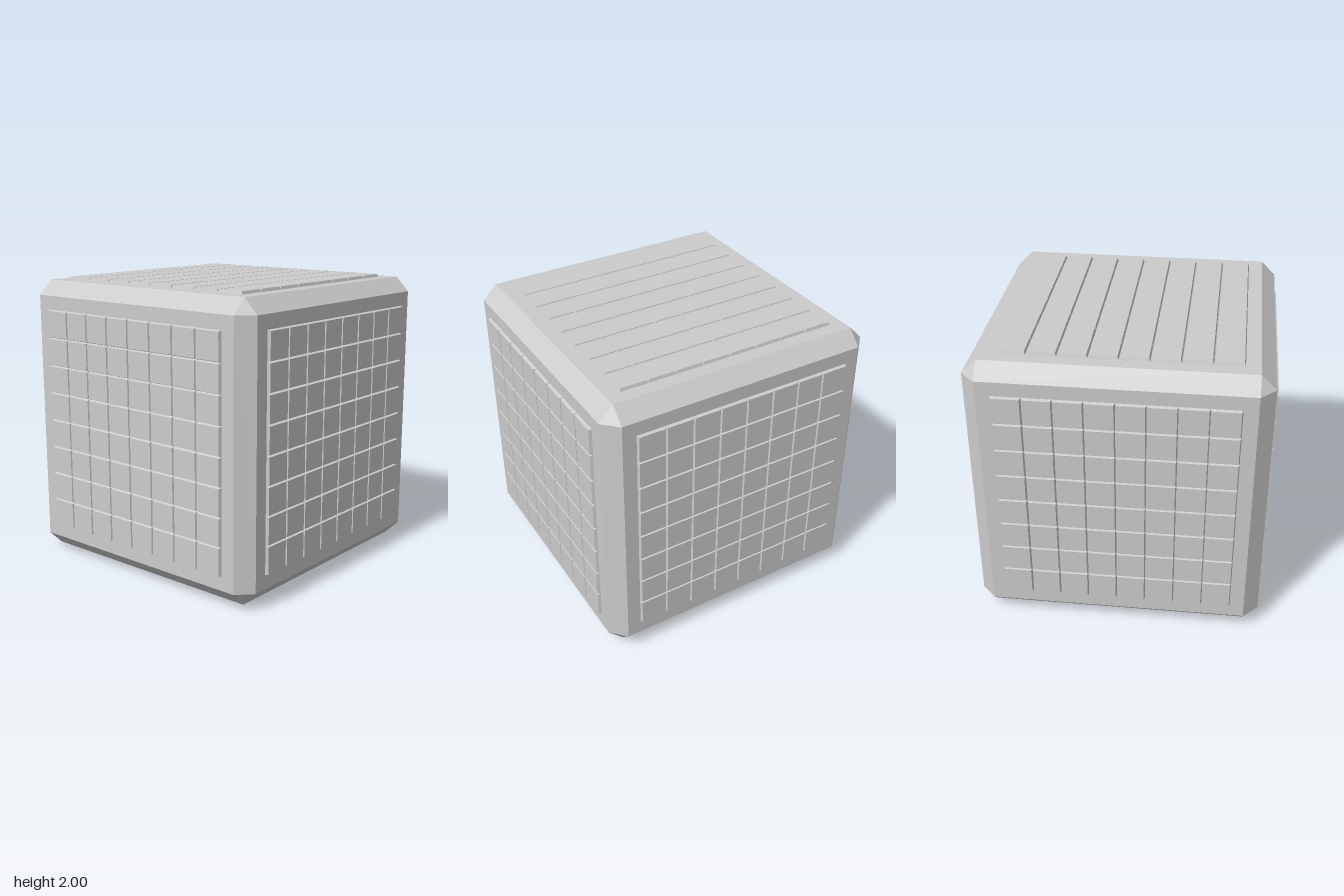
import * as THREE from 'three';
import { ConvexGeometry } from 'three/addons/geometries/ConvexGeometry.js';
import { mergeGeometries } from 'three/addons/utils/BufferGeometryUtils.js';

const HALF = 0.98;     // half size of the cube body
const INNER = 0.88;    // where the chamfer starts
const PITCH = 0.196;   // tile spacing
const COUNT = 8;       // tiles per row
const RAISE = 0.02;    // tile height

// Cube with flat chamfers on its edges and triangular corners
function chamferedCube() {
  const points = [];
  for (const x of [-1, 1]) for (const y of [-1, 1]) for (const z of [-1, 1]) {
    points.push(
      new THREE.Vector3(x * HALF, y * INNER, z * INNER),
      new THREE.Vector3(x * INNER, y * HALF, z * INNER),
      new THREE.Vector3(x * INNER, y * INNER, z * HALF),
    );
  }
  return new ConvexGeometry(points);
}

// Grid of tapered tiles lying on the top face of the cube
function tileGrid() {
  const tile = new THREE.CylinderGeometry(0.091 * Math.SQRT2, PITCH / Math.SQRT2, RAISE, 4)
    .rotateY(Math.PI / 4);
  const tiles = [];
  for (let i = 0; i < COUNT; i++) for (let j = 0; j < COUNT; j++) {
    const offset = (COUNT - 1) / 2;
    tiles.push(tile.clone().translate((i - offset) * PITCH, HALF + RAISE / 2, (j - offset) * PITCH));
  }
  return mergeGeometries(tiles);
}

export function createModel() {
  const model = new THREE.Group();
  model.name = 'tiledCube';
  const material = new THREE.MeshStandardMaterial({ color: 0xcccccc, flatShading: true });

  const body = new THREE.Mesh(chamferedCube(), material);
  body.name = 'body';
  body.position.y = 1;
  model.add(body);

  // The same tile grid turned onto each of the six faces
  const grid = tileGrid();
  const q = Math.PI / 2;
  const faces = {
    topTiles: [0, 0], bottomTiles: [2 * q, 0], frontTiles: [q, 0],
    backTiles: [-q, 0], leftTiles: [0, -q], rightTiles: [0, q],
  };
  for (const [name, [rx, rz]] of Object.entries(faces)) {
    const tiles = new THREE.Mesh(grid, material);
    tiles.name = name;
    tiles.position.y = 1;
    tiles.rotation.set(rx, 0, rz);
    model.add(tiles);
  }
  return model;
}
